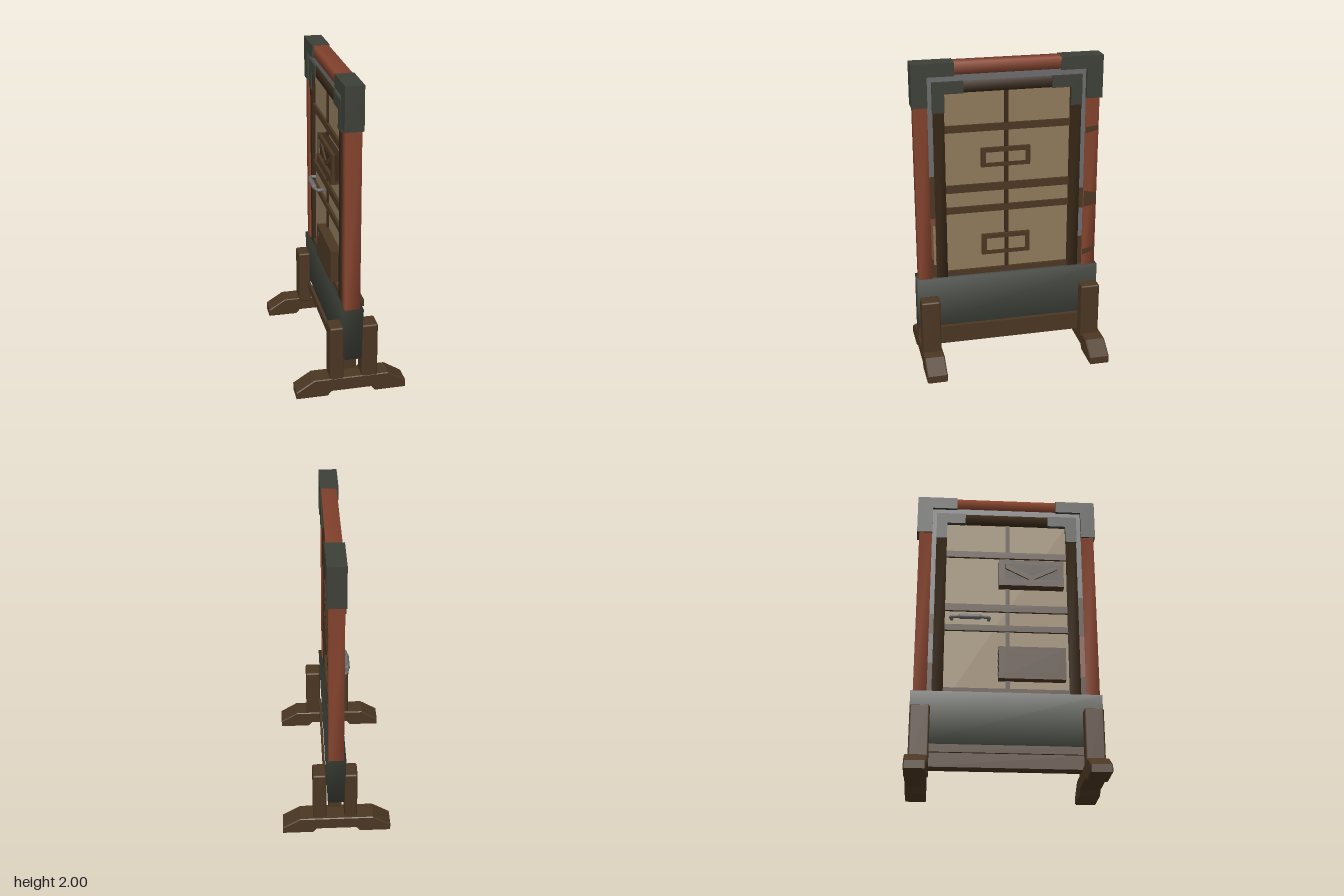
import * as THREE from 'three';
import { mergeVertices } from 'three/addons/utils/BufferGeometryUtils.js';
import { RoundedBoxGeometry } from 'three/addons/geometries/RoundedBoxGeometry.js';

function mat(name, color) {
  const m = new THREE.MeshStandardMaterial({ color });
  m.name = name;
  return m;
}

export function createModel() {
  const red = mat('painted red wood', 0x88452f);
  const slate = mat('dark iron', 0x3d4038);
  const brown = mat('brown wood', 0x4b3622);
  const dark = mat('dark wood', 0x392918);
  const tan = mat('tan panel', 0x8f7a5b);
  const grey = mat('grey metal', 0x6c6c6c);
  const rust = mat('rust', 0x7a4a36);

  const model = new THREE.Group();
  model.name = 'standingDoor';

  function add(name, geometry, material, parent = model) {
    const mesh = new THREE.Mesh(geometry, material);
    mesh.name = name;
    parent.add(mesh);
    return mesh;
  }

  // Box from its limits: [x0, x1], [y0, y1], [z0, z1]
  const size = (r) => Math.abs(r[1] - r[0]);
  const mid = (r) => (r[0] + r[1]) / 2;
  function box(name, x, y, z, material, parent) {
    const g = new THREE.BoxGeometry(size(x), size(y), size(z));
    g.translate(mid(x), mid(y), mid(z));
    return add(name, g, material, parent);
  }

  // Box with shared corner normals, optionally narrowed in x at the bottom
  function softBox(name, x, y, z, material, taper = 1) {
    const g = new THREE.BoxGeometry(size(x), size(y), size(z));
    g.deleteAttribute('normal');
    g.deleteAttribute('uv');
    const p = g.attributes.position;
    for (let i = 0; i < p.count; i++) if (p.getY(i) < 0) p.setX(i, p.getX(i) * taper);
    g.translate(mid(x), mid(y), mid(z));
    const merged = mergeVertices(g);
    merged.computeVertexNormals();
    return add(name, merged, material);
  }

  // Shape drawn in (z, y), extruded along x from x0 to x1
  function slab(name, points, x0, x1, material, hole) {
    const shape = new THREE.Shape(points.map(([z, y]) => new THREE.Vector2(-z, y)));
    if (hole) shape.holes.push(new THREE.Path(hole.map(([z, y]) => new THREE.Vector2(-z, y))));
    const g = new THREE.ExtrudeGeometry(shape, { depth: x1 - x0, bevelEnabled: false });
    g.rotateY(Math.PI / 2);
    g.translate(x0, 0, 0);
    return add(name, g, material);
  }
  const rect = (z, y) => [[z[0], y[0]], [z[1], y[0]], [z[1], y[1]], [z[0], y[1]]];

  // Feet with chamfered ends and a raised arch
  const footShape = new THREE.Shape([
    [-0.345, 0.005], [-0.155, 0.005], [-0.13, 0.035], [0.13, 0.035], [0.155, 0.005], [0.345, 0.005],
    [0.345, 0.045], [0.235, 0.115], [-0.235, 0.115], [-0.345, 0.045],
  ].map(([x, y]) => new THREE.Vector2(x, y)));
  for (const [z0, z1] of [[0.47, 0.6], [-0.605, -0.475]]) {
    const g = new THREE.ExtrudeGeometry(footShape, {
      depth: z1 - z0 - 0.012, bevelSize: 0.005, bevelThickness: 0.006, bevelSegments: 1,
    });
    g.translate(0, 0, z0 + 0.006);
    add('foot', g, brown);
  }

  // Uprights clasping the base
  for (const [z, x] of [
    [[0.477, 0.598], [-0.137, -0.05]], [[0.477, 0.598], [0.065, 0.165]],
    [[-0.588, -0.465], [-0.132, -0.05]], [[-0.588, -0.465], [0.065, 0.152]],
  ]) {
    const g = new RoundedBoxGeometry(size(x), 0.38, size(z), 2, 0.012);
    g.translate(mid(x), 0.285, mid(z));
    add('upright', g, brown);
  }

  // Cross beam and thin side planks below the base plate
  box('crossBeam', [-0.035, 0.05], [0.11, 0.2], [-0.5, 0.5], brown);
  for (const x of [[0.06, 0.075], [-0.065, -0.05]]) {
    box('sidePlank', x, [0.195, 0.245], [-0.48, 0.48], brown);
  }

  // Iron base plate, slightly narrower below
  softBox('basePlate', [-0.06, 0.07], [0.25, 0.59], [-0.59, 0.605], slate, 0.8);

  // Red outer frame
  softBox('leftPost', [-0.045, 0.05], [0.5, 1.8], [0.508, 0.592], red);
  softBox('rightPost', [-0.045, 0.05], [0.5, 1.8], [-0.575, -0.49], red);
  softBox('topBeam', [-0.042, 0.052], [1.925, 1.998], [-0.4, 0.4], red);

  // L shaped corner brackets: outer on the frame, inner on the door
  function bracket(name, z, zArm, zInner, top, armY, bottom, x0, x1) {
    const pts = [[z, top], [zArm, top], [zArm, armY], [zInner, armY], [zInner, bottom], [z, bottom]];
    slab(name, pts, x0, x1, slate);
  }
  bracket('outerBracket', 0.603, 0.34, 0.507, 2, 1.918, 1.73, -0.055, 0.06);
  bracket('outerBracket', -0.59, -0.325, -0.488, 2, 1.918, 1.73, -0.055, 0.06);
  bracket('innerBracket', 0.478, 0.285, 0.403, 1.882, 1.808, 1.692, -0.05, 0.056);
  bracket('innerBracket', -0.46, -0.268, -0.39, 1.882, 1.808, 1.692, -0.05, 0.056);

  // Metal liner between frame and door, worn to wood and rust lower down
  const lx = [-0.035, 0.035];
  box('linerTop', lx, [1.875, 1.925], [-0.49, 0.51], grey);
  const leftZ = [0.472, 0.512], rightZ = [-0.495, -0.455];
  for (const [z, y, m] of [
    [leftZ, [1.28, 1.88], grey], [leftZ, [1.0, 1.28], brown],
    [leftZ, [0.72, 1.0], rust], [leftZ, [0.5, 0.72], brown],
    [rightZ, [1.13, 1.88], grey], [rightZ, [0.99, 1.13], brown],
    [rightZ, [0.79, 0.99], grey], [rightZ, [0.5, 0.79], brown],
  ]) box('liner', lx, y, z, m);
  box('paintChip', [0.035, 0.037], [0.68, 0.95], [0.478, 0.492], tan);

  // Worn patches on the right post
  for (const [y, h, rise] of [[1.5, 0.04, 0.02], [1.0, 0.11, 0.02], [0.66, 0.04, 0.03]]) {
    slab('wornPatch', [[-0.492, y], [-0.573, y + rise], [-0.573, y + rise + h * 0.7], [-0.492, y + h]], 0.048, 0.053, brown);
  }

  // Door leaf: tan panel, dark stiles, rails and mullion
  box('panel', [-0.022, 0.022], [0.5, 1.83], [-0.4, 0.415], tan);
  softBox('leftStile', [-0.042, 0.044], [0.5, 1.88], [0.405, 0.475], dark);
  softBox('rightStile', [-0.042, 0.044], [0.5, 1.88], [-0.46, -0.39], dark);
  softBox('topRail', [-0.042, 0.044], [1.81, 1.88], [-0.42, 0.43], dark);
  for (const y of [[1.555, 1.6], [1.16, 1.21], [1.02, 1.062], [0.55, 0.625]]) {
    box('rail', [-0.038, 0.038], y, [-0.395, 0.41], brown);
  }
  box('mullion', [-0.032, 0.032], [0.55, 1.82], [0.002, 0.028], dark);

  // Label frames on the left face
  for (const [y0, y1] of [[1.322, 1.445], [0.725, 0.862]]) {
    slab('labelFrame', rect([-0.135, 0.178], [y0, y1]), 0.02, 0.045, brown,
      rect([-0.105, 0.148], [y0 + 0.028, y1 - 0.028]));
  }

  // Lower tray on the right face, framed, with rivets on its end
  const trayZ = [-0.045, 0.38];
  box('lowerTray', [-0.077, -0.02], [0.68, 0.89], trayZ, brown);
  slab('lowerTrayRim', rect(trayZ, [0.675, 0.893]), -0.087, -0.075, brown,
    rect([0, 0.335], [0.715, 0.853]));
  for (let i = 0; i < 4; i++) {
    const rivet = add('rivet', new THREE.SphereGeometry(0.011, 10, 8), grey);
    rivet.position.set(-0.058, 0.715 + i * 0.047, trayZ[0]);
    rivet.scale.z = 0.6;
  }

  // Upper tray with a ledge and folded diagonals
  box('upperTray', [-0.065, -0.02], [1.35, 1.515], trayZ, dark);
  slab('upperTrayRim', rect(trayZ, [1.35, 1.52]), -0.08, -0.06, brown,
    rect([-0.005, 0.34], [1.375, 1.49]));
  box('upperTrayLedge', [-0.086, -0.02], [1.33, 1.378], trayZ, brown);
  for (const z of [0, 0.335]) {
    slab('trayDiagonal', [[z, 1.495], [z, 1.46], [0.168, 1.375], [0.168, 1.41]], -0.076, -0.06, brown);
  }

  // Pull handle on the right face
  const path = new THREE.CatmullRomCurve3([
    [-0.03, -0.345], [-0.065, -0.35], [-0.076, -0.31], [-0.079, -0.23],
    [-0.076, -0.15], [-0.065, -0.108], [-0.03, -0.108],
  ].map(([x, z]) => new THREE.Vector3(x, 1.1, z)));
  add('handle', new THREE.TubeGeometry(path, 32, 0.011, 10), grey);
  const grip = add('handleGrip', new THREE.CapsuleGeometry(0.017, 0.12, 4, 12), grey);
  grip.rotation.x = Math.PI / 2;
  grip.position.set(-0.077, 1.1, -0.23);

  return model;
}
